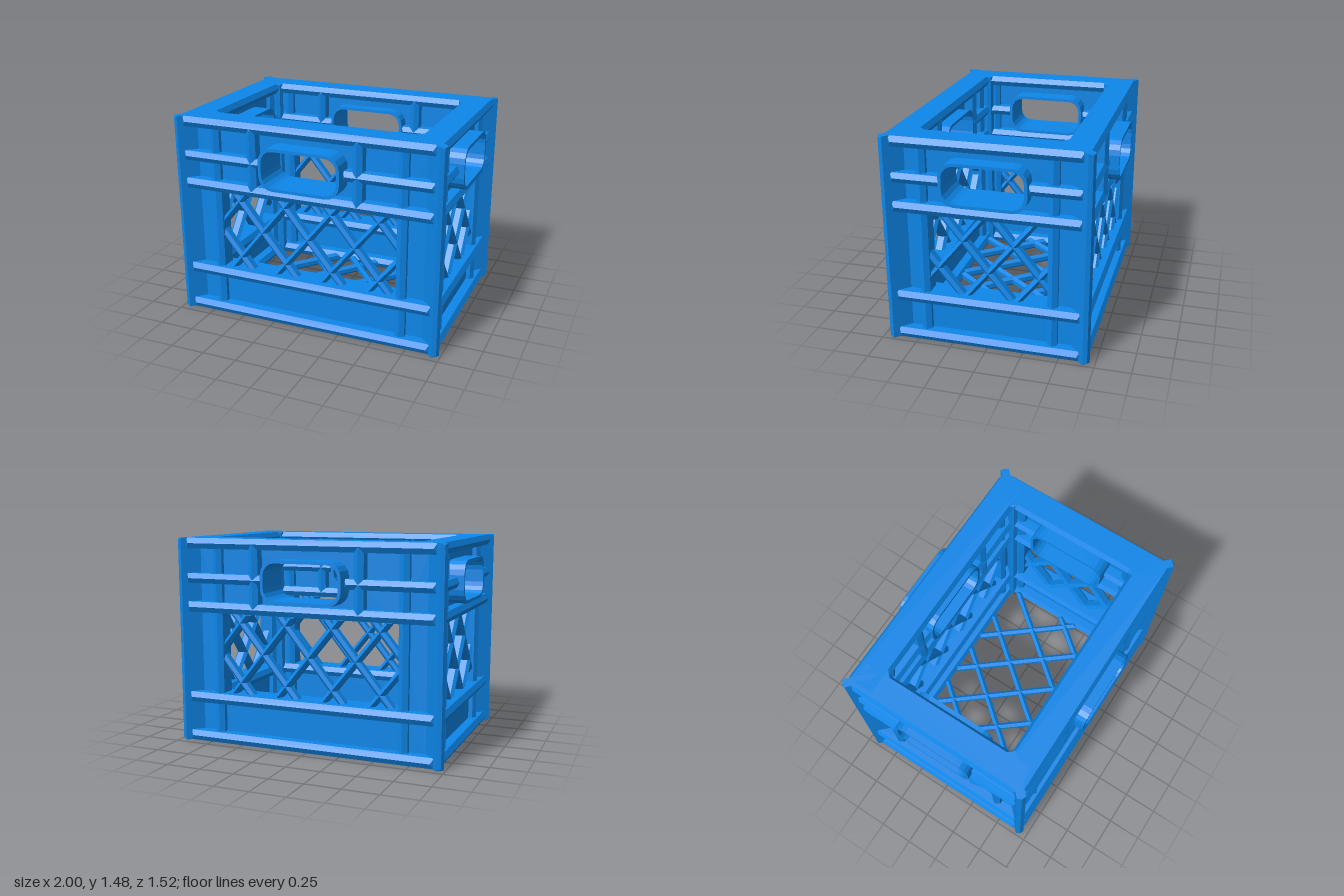
import * as THREE from 'three';
import { ConvexGeometry } from 'three/addons/geometries/ConvexGeometry.js';

const plastic = new THREE.MeshStandardMaterial({ color: 0x0d86e8, flatShading: true });
const HEIGHT = 1.475;

function add(parent, geometry, name, x = 0, y = 0, z = 0) {
  const mesh = new THREE.Mesh(geometry, plastic);
  mesh.name = name;
  mesh.position.set(x, y, z);
  parent.add(mesh);
  return mesh;
}

// Bar along x whose front and back narrow to a ridge with hipped ends
function bar(length, width, halfDepth, nose = 0.022) {
  const points = [];
  for (const s of [-1, 1]) for (const e of [-1, 1]) {
    points.push(new THREE.Vector3(e * (length / 2 - nose), 0, s * halfDepth));
    for (const t of [-1, 1]) {
      points.push(new THREE.Vector3(e * length / 2, t * width / 2, s * (halfDepth - nose)));
    }
  }
  return new ConvexGeometry(points);
}

// Rectangle with rounded corners, added to a Shape or Path
function roundedRect(path, w, h, r, cy = 0) {
  const x = w / 2 - r, y = h / 2 - r;
  path.absarc(x, cy + y, r, 0, Math.PI / 2);
  path.absarc(-x, cy + y, r, Math.PI / 2, Math.PI);
  path.absarc(-x, cy - y, r, Math.PI, Math.PI * 1.5);
  path.absarc(x, cy - y, r, Math.PI * 1.5, Math.PI * 2);
  path.closePath();
  return path;
}

// Crossing diagonal bars clipped to |u| <= uMax and vMin <= v <= vMax
function lattice(uMax, vMin, vMax, v0, halfDepth) {
  const group = new THREE.Group();
  group.name = 'lattice';
  const run = 0.175 / 0.2145;
  for (let i = -4; i <= 4; i++) for (const s of [-1, 1]) {
    const c = i * 0.35;
    const vAt = (u) => v0 + (u - c) / (s * run);
    const a = Math.max(vMin, Math.min(vAt(-uMax), vAt(uMax)));
    const b = Math.min(vMax, Math.max(vAt(-uMax), vAt(uMax)));
    const length = (b - a) * Math.hypot(1, run);
    if (b <= a || length < 0.28) continue;
    const v = (a + b) / 2;
    const m = add(group, bar(length, 0.044, halfDepth, 0.02), 'latticeBar', c + s * run * (v - v0), v);
    m.rotation.z = Math.atan2(1, s * run);
  }
  return group;
}

// One wall facing +z, centred on its own thickness
function wall({ name, half, ribHalf, window: win, post, node, tubeBack, tubeFront, struts }) {
  const g = new THREE.Group();
  g.name = name;

  // Thin panel with the window and the hand hole
  const shape = new THREE.Shape([[-half, 0.02], [half, 0.02], [half, 1.46], [-half, 1.46]]
    .map(([x, y]) => new THREE.Vector2(x, y)));
  shape.holes.push(new THREE.Path([[-win, 0.345], [-win, 0.96], [win, 0.96], [win, 0.345]]
    .map(([x, y]) => new THREE.Vector2(x, y))));
  shape.holes.push(roundedRect(new THREE.Path(), 0.57, 0.28, 0.095, 1.19));
  add(g, new THREE.ExtrudeGeometry(shape, { depth: 0.044, bevelEnabled: false, curveSegments: 2 }),
    'panel', 0, 0, -0.022);

  // Horizontal ribs through the panel
  for (const y of [0.0375, 0.325, 0.985, HEIGHT - 0.0375]) {
    add(g, bar(ribHalf * 2, 0.075, 0.11), 'rib', 0, y);
  }

  for (const s of [-1, 1]) {
    // Short ribs beside the handle
    add(g, bar(ribHalf - 0.285, 0.07, 0.11), 'handleRib', s * (ribHalf + 0.285) / 2, 1.19);
    // Uprights beside the window
    add(g, bar(1.43, 0.07, 0.075), 'upright', s * post, HEIGHT / 2).rotation.z = Math.PI / 2;
    // Deep upright struts by the handle
    if (struts) add(g, bar(0.48, 0.07, 0.11), 'handleStrut', s * 0.39, 1.21).rotation.z = Math.PI / 2;
  }

  // Handle tube
  const tube = roundedRect(new THREE.Shape(), 0.59, 0.3, 0.1);
  tube.holes.push(roundedRect(new THREE.Path(), 0.548, 0.258, 0.085));
  add(g, new THREE.ExtrudeGeometry(tube, { depth: tubeFront + tubeBack, bevelEnabled: false, curveSegments: 2 }),
    'handle', 0, 1.19, -tubeBack);

  g.add(lattice(win + 0.02, 0.33, 0.95, node, 0.045));
  return g;
}

export function createModel() {
  const model = new THREE.Group();
  model.name = 'crate';

  for (const s of [-1, 1]) {
    // Front and back walls
    const long = wall({
      name: s > 0 ? 'frontWall' : 'backWall', half: 0.87, ribHalf: 0.92, window: 0.66, post: 0.693,
      node: 0.66, tubeBack: 0.115, tubeFront: 0.17, struts: true,
    });
    long.position.z = s * 0.59;
    long.rotation.y = s > 0 ? 0 : Math.PI;
    model.add(long);

    // Side walls
    const short = wall({
      name: s > 0 ? 'leftWall' : 'rightWall', half: 0.6, ribHalf: 0.645, window: 0.41, post: 0.445,
      node: 0.543, tubeBack: 0.16, tubeFront: 0.14, struts: false,
    });
    short.position.x = s * 0.86;
    short.rotation.y = s * Math.PI / 2;
    model.add(short);

    // Diagonal corner posts
    for (const t of [-1, 1]) {
      const pivot = new THREE.Group();
      pivot.name = 'cornerPost';
      pivot.position.set(s * 0.86, HEIGHT / 2, t * 0.585);
      pivot.rotation.y = s * t * Math.PI / 4;
      add(pivot, bar(HEIGHT, 0.06, 0.162, 0.012), 'post').rotation.z = Math.PI / 2;
      model.add(pivot);
    }
  }

  // Floor lattice
  const floor = lattice(0.76, -0.485, 0.485, -0.353, 0.0365);
  floor.name = 'floorLattice';
  floor.rotation.x = Math.PI / 2;
  floor.position.y = 0.0375;
  model.add(floor);

  return model;
}
